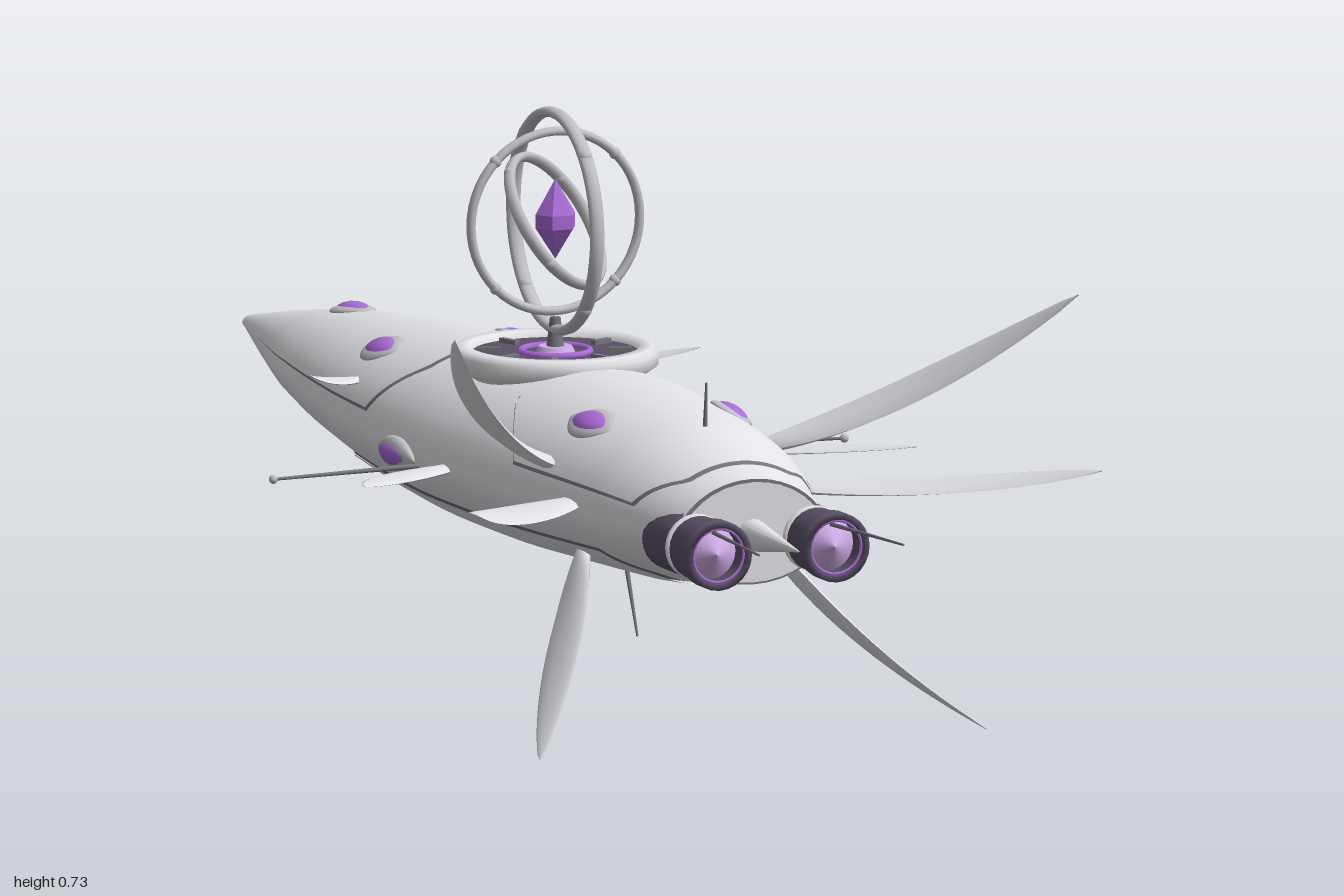
import * as THREE from 'three';

const mat = (name, color, double) => {
  const m = new THREE.MeshStandardMaterial({ color });
  m.name = name;
  if (double) m.side = THREE.DoubleSide;
  return m;
};
const V = (x, y, z) => new THREE.Vector3(x, y, z);

// Hull stations at even steps from nose to stern: half width, top, bottom
const Z0 = -1, Z1 = 0.73, MID = 0.272;
const stations = new THREE.CatmullRomCurve3([
  [0.002, 0.277, 0.268], [0.052, 0.312, 0.24], [0.1, 0.342, 0.218], [0.136, 0.362, 0.2],
  [0.163, 0.376, 0.186], [0.18, 0.388, 0.175], [0.19, 0.398, 0.17], [0.187, 0.402, 0.172],
  [0.174, 0.401, 0.18], [0.15, 0.39, 0.188], [0.107, 0.348, 0.208],
].map((p) => V(...p)));

// Point on the hull skin at angle a (0 = left side, 90 degrees = top), raised by off
function skin(z, a, off = 0) {
  const s = stations.getPoint(THREE.MathUtils.clamp((z - Z0) / (Z1 - Z0), 0, 1));
  const c = Math.cos(a), n = Math.sin(a);
  const h = n > 0 ? s.y - MID : MID - s.z;
  const y = Math.sign(n) * Math.pow(Math.abs(n), 1.1);
  return V((s.x + off) * c, MID + (h + off) * y, z);
}

// Grid surface from f(u, v), both 0..1
function surface(f, nu, nv) {
  const pos = [], idx = [];
  for (let i = 0; i <= nu; i++) for (let j = 0; j <= nv; j++) pos.push(...f(i / nu, j / nv).toArray());
  for (let i = 0; i < nu; i++) for (let j = 0; j < nv; j++) {
    const a = i * (nv + 1) + j, b = a + nv + 1;
    idx.push(a, a + 1, b, b, a + 1, b + 1);
  }
  const g = new THREE.BufferGeometry();
  g.setAttribute('position', new THREE.Float32BufferAttribute(pos, 3));
  g.setIndex(idx);
  g.computeVertexNormals();
  return g;
}

// Leaf-shaped blade swept along a curve, broad in the fore-aft direction
function bladeGeometry(base, ctrl, tip, width, thick) {
  const curve = new THREE.QuadraticBezierCurve3(base, ctrl, tip);
  return surface((u, v) => {
    const p = curve.getPoint(u), t = curve.getTangent(u);
    const w = V(0, 0, 1).addScaledVector(t, -t.z).normalize();
    const n = t.clone().cross(w);
    const half = width / 2 * (0.06 + 0.94 * Math.pow(Math.sin(Math.PI * Math.pow(u, 0.75)), 0.8)) * (u > 0.99 ? 0.05 : 1);
    const a = v * Math.PI * 2;
    return p.addScaledVector(w, half * Math.cos(a)).addScaledVector(n, thick / 2 * (1 - 0.9 * u) * Math.sin(a));
  }, 20, 10);
}

export function createModel() {
  const root = new THREE.Group();
  const hullM = mat('hull grey', 0xe6e5ea, true);
  const trimM = mat('seam grey', 0x77757d, true);
  const ringM = mat('ring grey', 0xc0bfc4);
  const darkM = mat('engine dark', 0x5a5066, true);
  const gemM = mat('gem purple', 0xa96bd6);
  const glowM = mat('pale purple', 0xd6b2ee);

  const add = (name, geo, m, parent = root, p) => {
    const mesh = new THREE.Mesh(geo, m);
    mesh.name = name;
    if (p) mesh.position.copy(p);
    parent.add(mesh);
    return mesh;
  };
  const rod = (name, a, b, r0, r1, m) => {
    const mesh = add(name, new THREE.CylinderGeometry(r1, r0, a.distanceTo(b), 16), m, root, a.clone().lerp(b, 0.5));
    mesh.quaternion.setFromUnitVectors(V(0, 1, 0), b.clone().sub(a).normalize());
  };

  // Hull and stern wall
  add('hull', surface((u, v) => skin(Z0 + (Z1 - Z0) * u, v * Math.PI * 2), 60, 48), hullM);
  const sternShape = (k) => new THREE.Shape(Array.from({ length: 32 }, (_, i) => {
    const p = skin(Z1, i / 32 * Math.PI * 2);
    return new THREE.Vector2(p.x * k, MID + (p.y - MID) * k);
  }));
  add('sternWall', new THREE.ShapeGeometry(sternShape(1)), trimM, root, V(0, 0, Z1));
  add('sternPanel', new THREE.ShapeGeometry(sternShape(0.95)), hullM, root, V(0, 0, Z1 + 0.003));

  // Armour plates: a dark seam layer below a slightly smaller raised plate
  const corner = (a) => Math.max(0, Math.abs(Math.cos(a)) - 0.6) / 0.35;
  const plate = (name, za, zb, a0, a1) => {
    [[trimM, 0.002, 0], [hullM, 0.0045, 1]].forEach(([m, off, inset]) => {
      add(inset ? name : name + 'Seam', surface((u, v) => {
        const a = THREE.MathUtils.degToRad(THREE.MathUtils.lerp(a0 + inset * 2, a1 - inset * 2, v));
        return skin(THREE.MathUtils.lerp(za(a) + inset * 0.006, zb(a) - inset * 0.006, u), a, off);
      }, 36, 28), m);
    });
  };
  plate('foredeckPlate', () => -0.985, (a) => -0.1 - 0.07 * corner(a), 17, 163);
  plate('afterdeckPlate', (a) => 0.2 + 0.13 * corner(a), (a) => 0.69 - 0.06 * corner(a), 20, 160);
  plate('keelPlate', (a) => -0.42 + 0.2 * corner(a), (a) => 0.62 - 0.1 * corner(a), 208, 332);

  // Eye-shaped gems set in the skin
  const spindle = (len, wid, high) => {
    const pts = Array.from({ length: 13 }, (_, i) => {
      const t = i / 6 - 1;
      return new THREE.Vector2(Math.max(0, 1 - t * t), t);
    });
    return new THREE.LatheGeometry(pts, 16).scale(wid / 2, len / 2, high);
  };
  const gem = (z, deg, len, wid, high = 0.009) => {
    const a = THREE.MathUtils.degToRad(deg), p = skin(z, a, 0.003);
    const along = skin(z + 0.02, a).sub(skin(z - 0.02, a)).normalize();
    const around = skin(z, a + 0.02).sub(skin(z, a - 0.02)).normalize();
    const n = along.clone().cross(around).normalize();
    if (n.dot(V(p.x, p.y - MID, 0)) < 0) n.negate();
    const g = new THREE.Group();
    g.name = 'eyeGem';
    g.quaternion.setFromRotationMatrix(new THREE.Matrix4().makeBasis(along.clone().cross(n), along, n));
    g.position.copy(p);
    add('gemSocket', spindle(len * 1.15, wid * 1.35, high), ringM, g);
    add('gemStone', spindle(len, wid, high + 0.004), gemM, g);
    root.add(g);
  };
  gem(-0.63, 90, 0.1, 0.042);
  [-0.3, 0.42].forEach((z) => [55, 125].forEach((d) => gem(z, d, 0.1, 0.044)));
  [0, 180].forEach((d) => gem(-0.02, d, 0.125, 0.034, 0.014));
  gem(0.05, 270, 0.12, 0.046);

  // Mirrored fins, engines and side antennas
  for (const s of [1, -1]) {
    [
      ['upperFin', [0.14, 0.322, 0.39], [0.31, 0.39, 0.52], [0.44, 0.57, 0.78], 0.085, 0.02],
      ['middleFin', [0.13, 0.285, 0.46], [0.32, 0.287, 0.6], [0.44, 0.35, 0.86], 0.08, 0.016],
      ['lowerFin', [0.125, 0.225, 0.46], [0.2, 0.09, 0.56], [0.315, 0.002, 0.77], 0.07, 0.018],
      ['sideFin', [0.16, 0.275, 0.12], [0.3, 0.278, 0.19], [0.39, 0.302, 0.35], 0.048, 0.014],
      ['foreFin', [0.14, 0.325, -0.27], [0.22, 0.335, -0.21], [0.275, 0.366, -0.11], 0.036, 0.01],
    ].forEach(([name, a, b, c, w, t]) => {
      const pts = [a, b, c].map((p) => V(p[0] * s, p[1], p[2]));
      add(name, bladeGeometry(...pts, w, t), hullM);
    });

    const engine = new THREE.Group();
    engine.name = 'engine';
    engine.position.set(0.083 * s, 0.266, 0);
    root.add(engine);
    const barrel = [[0.03, 0.64], [0.043, 0.66], [0.043, 0.725], [0.037, 0.73], [0.037, 0.745], [0.042, 0.75],
      [0.042, 0.79], [0.046, 0.795], [0.046, 0.82], [0.037, 0.82], [0.036, 0.775]];
    add('barrel', new THREE.LatheGeometry(barrel.map((p) => new THREE.Vector2(...p)), 24).rotateX(Math.PI / 2), darkM, engine);
    add('collar', new THREE.TorusGeometry(0.038, 0.005, 8, 24), hullM, engine, V(0, 0, 0.738));
    add('nozzleLip', new THREE.TorusGeometry(0.0355, 0.002, 8, 24), gemM, engine, V(0, 0, 0.816));
    add('nozzleGlow', new THREE.ConeGeometry(0.036, 0.025, 24).rotateX(Math.PI / 2), glowM, engine, V(0, 0, 0.8));
    rod('engineAntenna', V(0.083 * s, 0.294, 0.8), V(0.102 * s, 0.298, 1), 0.003, 0.0015, trimM);

    rod('sideAntenna', V(0.18 * s, 0.267, 0.05), V(0.403 * s, 0.267, 0.072), 0.0035, 0.002, trimM);
    add('antennaTip', new THREE.SphereGeometry(0.006, 10, 8), ringM, root, V(0.403 * s, 0.267, 0.072));
  }
  rod('keelAntenna', V(0, 0.18, 0.295), V(0, 0.076, 0.34), 0.0035, 0.0015, trimM);
  rod('deckAntenna', V(0, 0.38, 0.57), V(0, 0.45, 0.575), 0.0035, 0.0015, trimM);
  rod('tailSpike', V(0, 0.273, 0.7), V(0, 0.278, 0.89), 0.026, 0.001, hullM);

  // Round dais carrying the ring cage
  const dais = new THREE.Group();
  dais.name = 'dais';
  dais.position.set(0, 0, 0.06);
  root.add(dais);
  const rim = [[0.1, 0.37], [0.125, 0.385], [0.135, 0.392], [0.135, 0.408], [0.128, 0.416], [0.112, 0.416], [0.108, 0.405]];
  add('daisRim', new THREE.LatheGeometry(rim.map((p) => new THREE.Vector2(...p)), 40), hullM, dais);
  add('daisFloor', new THREE.CylinderGeometry(0.11, 0.11, 0.02, 40), darkM, dais, V(0, 0.397, 0));
  add('floorRing', new THREE.TorusGeometry(0.045, 0.005, 8, 32).rotateX(Math.PI / 2), gemM, dais, V(0, 0.408, 0));
  add('floorGlow', new THREE.CylinderGeometry(0.022, 0.026, 0.008, 24), glowM, dais, V(0, 0.411, 0));
  for (let i = 0; i < 8; i++) {
    const a = (i + 0.5) * Math.PI / 4;
    const clamp = add('daisClamp', new THREE.BoxGeometry(0.03, 0.008, 0.008), trimM, dais, V(Math.cos(a) * 0.085, 0.409, Math.sin(a) * 0.085));
    clamp.rotation.y = -a;
  }
  add('cagePost', new THREE.CylinderGeometry(0.007, 0.013, 0.05, 12), trimM, dais, V(0, 0.428, 0));

  // Three nested rings with beads around a floating crystal
  const ring = (name, radius, tube, depth, normal) => {
    const g = new THREE.Group();
    g.name = name;
    g.position.set(0, 0.58, 0);
    g.quaternion.setFromUnitVectors(V(0, 0, 1), normal.normalize());
    dais.add(g);
    add(name + 'Band', new THREE.TorusGeometry(radius, tube, 10, 56).scale(1, 1, depth), ringM, g);
    for (let i = 0; i < 4; i++) {
      const a = (i + 0.5) * Math.PI / 2;
      add('bead', new THREE.SphereGeometry(tube * 1.35, 10, 8), ringM, g, V(Math.cos(a) * radius, Math.sin(a) * radius, 0));
    }
  };
  ring('outerRing', 0.143, 0.007, 1.4, V(1, 0, 0));
  ring('middleRing', 0.119, 0.006, 1.2, V(0, 0, 1));
  ring('innerRing', 0.095, 0.006, 1.4, V(1, 0.9, 1));
  const facets = [[0, 0.53], [0.028, 0.572], [0.028, 0.59], [0, 0.636]].map((p) => new THREE.Vector2(...p));
  const crystal = new THREE.LatheGeometry(facets, 6).rotateY(Math.PI / 2).toNonIndexed();
  crystal.computeVertexNormals();
  add('crystal', crystal, gemM, dais);

  return root;
}
